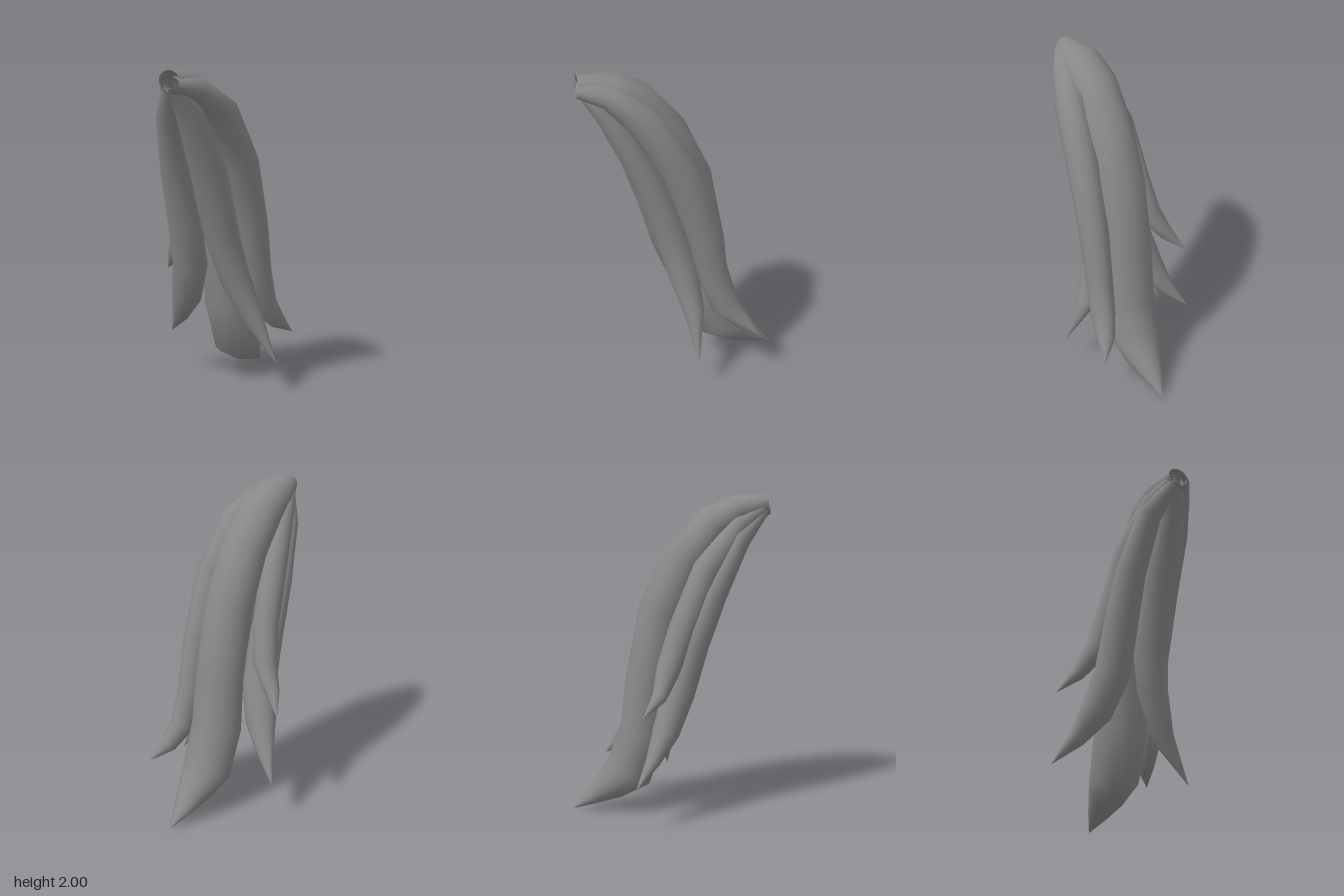
import * as THREE from 'three';

const SIDES = 16;

// Sweeps ellipses along a path; each row is x, y, z, half width, half depth.
function lockGeometry(rows) {
  const centres = rows.map(r => new THREE.Vector3(r[0], r[1], r[2]));
  const positions = [];
  const index = [];
  rows.forEach((row, i) => {
    const before = centres[Math.max(i - 1, 0)];
    const after = centres[Math.min(i + 1, rows.length - 1)];
    const tangent = after.clone().sub(before).normalize();
    if (i === 0) tangent.set(0, 0, -1);
    const side = new THREE.Vector3(1, 0, 0).addScaledVector(tangent, -tangent.x).normalize();
    const depth = tangent.clone().cross(side);
    for (let j = 0; j < SIDES; j++) {
      const a = (j / SIDES) * Math.PI * 2;
      const p = centres[i].clone()
        .addScaledVector(side, Math.cos(a) * row[3])
        .addScaledVector(depth, Math.sin(a) * row[4]);
      positions.push(p.x, p.y, p.z);
    }
    if (i === 0) return;
    for (let j = 0; j < SIDES; j++) {
      const k = (j + 1) % SIDES;
      const a = (i - 1) * SIDES + j, b = (i - 1) * SIDES + k;
      const c = i * SIDES + j, d = i * SIDES + k;
      index.push(a, b, c);
      if (i < rows.length - 1) index.push(b, d, c);
    }
  });
  const geometry = new THREE.BufferGeometry();
  geometry.setAttribute('position', new THREE.Float32BufferAttribute(positions, 3));
  geometry.setIndex(index);
  geometry.computeVertexNormals();
  return geometry;
}

// Open at the root, pointed at the tip
const LOCKS = {
  mainLock: [
    [0.035, 1.94, 0.605, 0.065, 0.06],
    [0.028, 1.905, 0.43, 0.128, 0.095],
    [0.022, 1.82, 0.285, 0.145, 0.125],
    [0.02, 1.61, 0.11, 0.148, 0.14],
    [0.02, 1.29, -0.04, 0.152, 0.145],
    [0.02, 0.86, -0.13, 0.155, 0.14],
    [0.025, 0.53, -0.16, 0.165, 0.145],
    [0.03, 0.255, -0.255, 0.152, 0.155],
    [0.03, 0.18, -0.36, 0.12, 0.112],
    [0.03, 0.085, -0.49, 0.065, 0.052],
    [0.03, 0.0, -0.617, 0, 0]
  ],
  leftBackLock: [
    [0.055, 1.92, 0.617, 0.052, 0.045],
    [0.12, 1.89, 0.44, 0.08, 0.072],
    [0.185, 1.755, 0.26, 0.095, 0.1],
    [0.217, 1.45, 0.06, 0.097, 0.11],
    [0.225, 1.05, -0.08, 0.09, 0.105],
    [0.23, 0.73, -0.15, 0.083, 0.095],
    [0.247, 0.5, -0.225, 0.075, 0.09],
    [0.285, 0.385, -0.33, 0.055, 0.055],
    [0.35, 0.29, -0.435, 0, 0]
  ],
  leftFrontLock: [
    [0.04, 1.91, 0.6, 0.045, 0.04],
    [0.075, 1.76, 0.45, 0.085, 0.065],
    [0.09, 1.4, 0.25, 0.115, 0.09],
    [0.1, 1.0, 0.1, 0.11, 0.1],
    [0.15, 0.75, 0.03, 0.095, 0.1],
    [0.25, 0.48, -0.025, 0.07, 0.065],
    [0.42, 0.2, -0.022, 0, 0]
  ],
  rightFrontLock: [
    [0.03, 1.91, 0.6, 0.045, 0.04],
    [-0.073, 1.73, 0.43, 0.075, 0.065],
    [-0.12, 1.4, 0.27, 0.095, 0.085],
    [-0.13, 1.1, 0.155, 0.107, 0.095],
    [-0.14, 0.8, 0.065, 0.112, 0.1],
    [-0.21, 0.57, -0.01, 0.1, 0.083],
    [-0.3, 0.41, -0.085, 0.055, 0.045],
    [-0.42, 0.26, -0.18, 0, 0]
  ],
  rightBackLock: [
    [0.02, 1.93, 0.6, 0.045, 0.04],
    [-0.06, 1.82, 0.43, 0.06, 0.065],
    [-0.13, 1.55, 0.23, 0.08, 0.083],
    [-0.17, 1.2, 0.09, 0.08, 0.085],
    [-0.22, 0.97, 0.01, 0.075, 0.075],
    [-0.32, 0.81, -0.045, 0.045, 0.045],
    [-0.42, 0.7, -0.137, 0, 0]
  ]
};

export function createModel() {
  const model = new THREE.Group();
  model.name = 'bundledLocks';
  const grey = new THREE.MeshStandardMaterial({ color: 0x888888, side: THREE.DoubleSide });
  grey.name = 'grey';

  for (const [name, rows] of Object.entries(LOCKS)) {
    const lock = new THREE.Mesh(lockGeometry(rows), grey);
    lock.name = name;
    model.add(lock);
  }
  return model;
}
